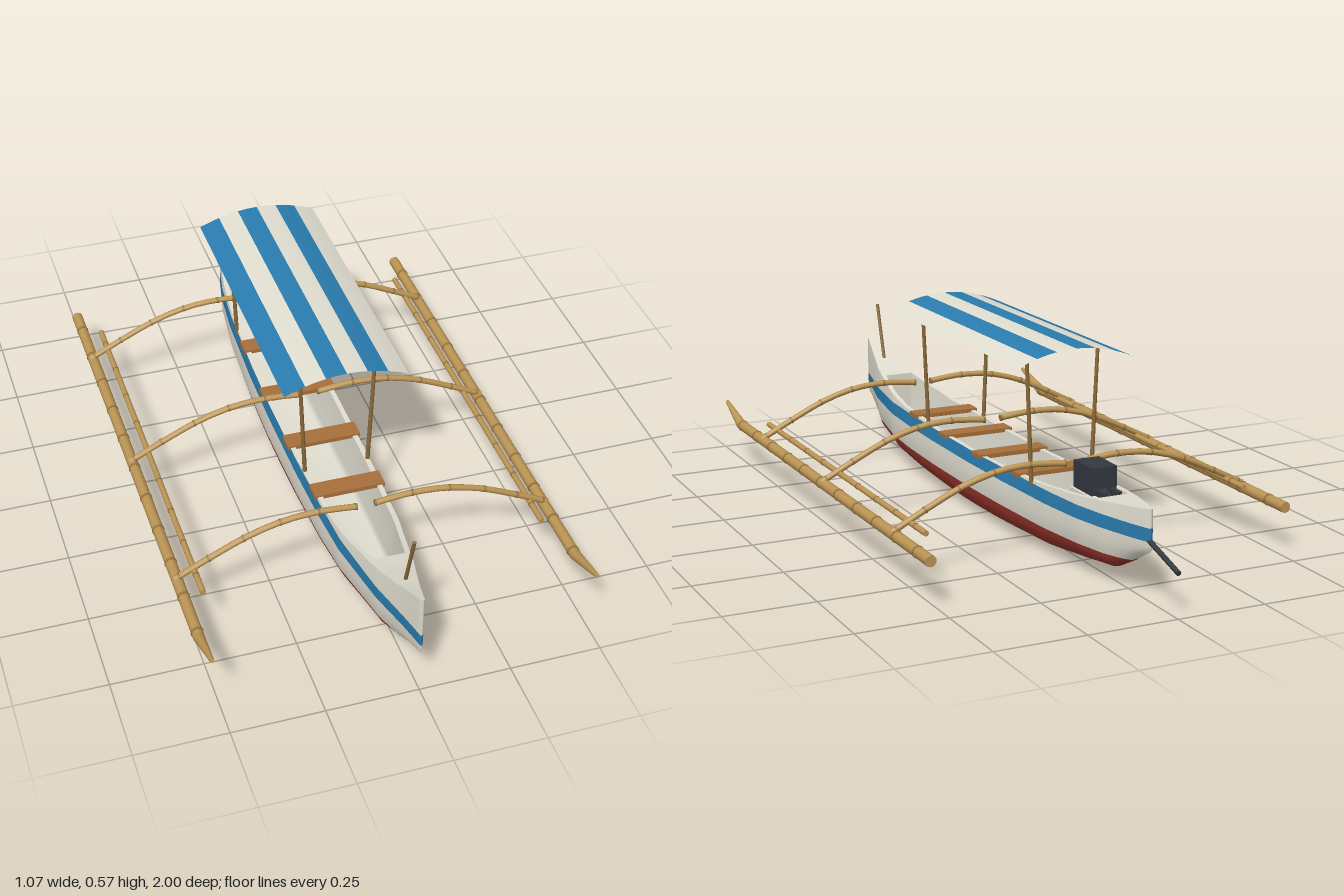
import * as THREE from 'three';

const mat = (name, color, side = THREE.FrontSide) => {
  const m = new THREE.MeshStandardMaterial({ color, side });
  m.name = name;
  return m;
};

// Piecewise linear lookup in a short table of [z, value]
function lookup(table, z) {
  for (let i = 1; i < table.length; i++) {
    const [z0, v0] = table[i - 1], [z1, v1] = table[i];
    if (z <= z1) return v0 + (v1 - v0) * Math.max(0, (z - z0) / (z1 - z0));
  }
  return table[table.length - 1][1];
}

// Surface through rows of [x, y, z] points
function loft(rows, flip = false) {
  const n = rows[0].length, index = [];
  for (let i = 0; i < rows.length - 1; i++) {
    for (let j = 0; j < n - 1; j++) {
      const a = i * n + j, b = a + 1, c = a + n, d = c + 1;
      if (flip) index.push(a, c, b, b, c, d);
      else index.push(a, b, c, b, d, c);
    }
  }
  const g = new THREE.BufferGeometry();
  g.setAttribute('position', new THREE.Float32BufferAttribute(rows.flat(2), 3));
  g.setIndex(index);
  g.computeVertexNormals();
  return g;
}

// Hull lines: keel height, top edge height and half width along z
const KEEL = [[-0.86, 0.13], [-0.78, 0.085], [-0.7, 0.045], [-0.4, 0.013], [-0.1, 0.002], [0.1, 0],
  [0.4, 0.01], [0.6, 0.022], [0.8, 0.046], [0.9, 0.085], [1, 0.13]];
const SHEER = [[-0.86, 0.242], [-0.6, 0.216], [-0.4, 0.2], [-0.1, 0.191], [0.2, 0.193], [0.5, 0.202],
  [0.65, 0.22], [0.8, 0.25], [0.9, 0.277], [1, 0.312]];
const BEAM = [[-0.86, 0.005], [-0.8, 0.026], [-0.7, 0.055], [-0.6, 0.076], [-0.45, 0.092], [-0.2, 0.104],
  [0, 0.108], [0.25, 0.106], [0.45, 0.099], [0.6, 0.088], [0.8, 0.053], [0.92, 0.022], [1, 0.004]];

function halfWidth(z, y) {
  const k = lookup(KEEL, z), t = (y - k) / (lookup(SHEER, z) - k);
  const low = Math.max(0, 1 - t / 0.6), high = Math.max(0, (t - 0.6) / 0.4);
  const round = Math.pow(Math.max(0, 1 - Math.pow(low, 2.4)), 1 / 2.4);
  return lookup(BEAM, z) * round * (1 - 0.08 * high * high);
}

const range = (a, b, n) => Array.from({ length: n + 1 }, (_, i) => a + (b - a) * i / n);

export function createModel() {
  const root = new THREE.Group();
  root.name = 'outriggerBoat';
  const cream = mat('cream paint', 0xe2dfd2, THREE.DoubleSide);
  const blue = mat('blue paint', 0x2a7db0, THREE.DoubleSide);
  const red = mat('red bottom paint', 0xa63a30, THREE.DoubleSide);
  const bamboo = mat('bamboo', 0xbd9655);
  const joint = mat('bamboo joint', 0x9c7840);
  const wood = mat('post wood', 0x8a6a3a);
  const plank = mat('bench wood', 0xa9703c);
  const metal = mat('dark metal', 0x34383f);

  const add = (name, geometry, material, parent = root) => {
    const m = new THREE.Mesh(geometry, material);
    m.name = name;
    parent.add(m);
    return m;
  };
  const box = (name, w, h, d, x, y, z, material) =>
    add(name, new THREE.BoxGeometry(w, h, d), material).position.set(x, y, z);
  const rod = (name, a, b, ra, rb, material, parent = root) => {
    const A = new THREE.Vector3(...a), B = new THREE.Vector3(...b), dir = B.clone().sub(A);
    const m = add(name, new THREE.CylinderGeometry(rb, ra, dir.length(), 10), material, parent);
    m.position.copy(A).add(B).multiplyScalar(0.5);
    m.quaternion.setFromUnitVectors(new THREE.Vector3(0, 1, 0), dir.normalize());
    return m;
  };

  // Painted hull bands, each cut at fixed heights
  const bands = [['hullBottom', 0, 0.086, red, 8], ['lowerHull', 0.086, 0.156, cream, 4],
    ['hullStripe', 0.156, 0.192, blue, 2], ['upperHull', 0.192, 0.4, cream, 2]];
  const stations = range(-0.86, 1, 93);
  for (const [name, lo, hi, material, steps] of bands) {
    for (const s of [1, -1]) {
      const row = (z, closed) => {
        const k = lookup(KEEL, z), top = lookup(SHEER, z);
        const y0 = Math.min(Math.max(lo, k), top), y1 = Math.min(Math.max(hi, k), top);
        return range(0, 1, steps).map((u) => {
          const y = y0 + (y1 - y0) * (lo === 0 ? u * u : u);
          return [closed ? 0 : s * halfWidth(z, y), y, z];
        });
      };
      const rows = [row(-0.86, true), ...stations.map((z) => row(z, false)), row(1, true)];
      add(name, loft(rows, s < 0), material);
    }
  }

  // Open well between the end decks, with rim and floor
  const AFT = -0.66, FORE = 0.75;
  const wellRow = (z) => {
    const y = lookup(SHEER, z), w = halfWidth(z, y), floor = lookup(KEEL, z) + 0.05;
    const half = [[w, y], [w - 0.014, y], [w - 0.014, y], [w * 0.72, floor + 0.012], [w * 0.6, floor]];
    const mirror = half.slice().reverse().map(([x, h]) => [-x, h]);
    return [...half, ...mirror].map(([x, h]) => [x, h, z]);
  };
  add('hullInterior', loft(range(AFT, FORE, 40).map(wellRow)), cream);
  for (const [name, a, b] of [['foreDeck', FORE, 1], ['aftDeck', -0.86, AFT]]) {
    add(name, loft(range(a, b, 10).map((z) => {
      const y = lookup(SHEER, z), w = halfWidth(z, y);
      return [[w, y, z], [-w, y, z]];
    })), cream);
  }
  for (const z of [AFT, FORE]) {
    const y = lookup(SHEER, z), w = halfWidth(z, y), f = lookup(KEEL, z) + 0.05;
    const s = z > 0 ? -1 : 1;
    add('bulkhead', loft([[[-s * w * 0.6, f, z], [s * w * 0.6, f, z]],
      [[-s * (w - 0.01), y, z], [s * (w - 0.01), y, z]]]), cream);
  }

  // Benches
  for (const z of [0.405, 0.175, -0.055, -0.285]) {
    box('bench', 2 * lookup(BEAM, z) - 0.002, 0.012, 0.055, 0, lookup(SHEER, z) - 0.001, z, plank);
  }

  // Striped arched canopy
  const canopy = new THREE.Group();
  canopy.name = 'canopy';
  root.add(canopy);
  const roofY = (x) => 0.567 - 0.038 * (x / 0.172) ** 2;
  const edges = range(-0.172, 0.172, 6);
  for (let i = 0; i < 6; i++) {
    const rows = range(edges[i + 1], edges[i], 3).map((x) => [[x, roofY(x), -0.455], [x, roofY(x), 0.39]]);
    add('canopyStripe', loft(rows, true), i % 2 ? cream : blue, canopy);
  }
  for (const s of [1, -1]) {
    for (const z of [0.31, -0.375]) {
      rod('canopyPost', [s * 0.09, 0.185, z], [s * 0.106, 0.548, z], 0.006, 0.005, wood);
    }
  }
  rod('bowPost', [0, 0.262, 0.87], [0, 0.435, 0.922], 0.005, 0.005, wood);

  // Bamboo floats, rails and curved booms on both sides
  for (const s of [1, -1]) {
    const side = new THREE.Group();
    side.name = s > 0 ? 'leftOutrigger' : 'rightOutrigger';
    root.add(side);
    const fx = s * 0.517, rx = s * 0.471;
    rod('float', [fx, 0.127, -0.68], [fx, 0.127, 0.78], 0.0155, 0.0155, bamboo, side);
    rod('floatTip', [fx, 0.127, 0.775], [fx, 0.17, 0.91], 0.0155, 0.006, bamboo, side);
    for (const z of range(-0.6, 0.76, 10)) {
      rod('floatJoint', [fx, 0.127, z - 0.004], [fx, 0.127, z + 0.004], 0.017, 0.017, joint, side);
    }
    rod('rail', [rx, 0.153, -0.545], [rx, 0.153, 0.65], 0.008, 0.008, bamboo, side);
    for (const z of range(-0.48, 0.58, 8)) {
      rod('railJoint', [rx, 0.153, z - 0.003], [rx, 0.153, z + 0.003], 0.009, 0.009, joint, side);
    }
    for (const z of [0.56, 0.057, -0.447]) {
      const path = new THREE.CatmullRomCurve3([[0.025, 0.257], [0.12, 0.266], [0.22, 0.26], [0.32, 0.233],
        [0.42, 0.188], [0.525, 0.135]].map(([x, y]) => new THREE.Vector3(s * x, y, z)));
      add('boom', new THREE.TubeGeometry(path, 12, 0.0085, 10), bamboo, side);
      for (const u of [0.004, 0.2, 0.4, 0.6, 0.8, 0.97]) {
        const p = path.getPointAt(u), d = path.getTangentAt(u).multiplyScalar(0.003);
        rod('boomJoint', p.clone().sub(d).toArray(), p.clone().add(d).toArray(), 0.0095, 0.0095, joint, side);
      }
    }
  }

  // Engine, mount and propeller shaft
  box('engine', 0.074, 0.075, 0.1, 0, 0.249, -0.565, metal);
  box('engineMount', 0.09, 0.014, 0.13, 0, 0.206, -0.575, cream);
  for (const x of [-0.02, 0.02]) box('engineBracket', 0.014, 0.016, 0.05, x, 0.222, -0.635, metal);
  rod('propellerShaft', [0, 0.229, -0.6], [0, 0.117, -0.998], 0.007, 0.007, metal);
  return root;
}
